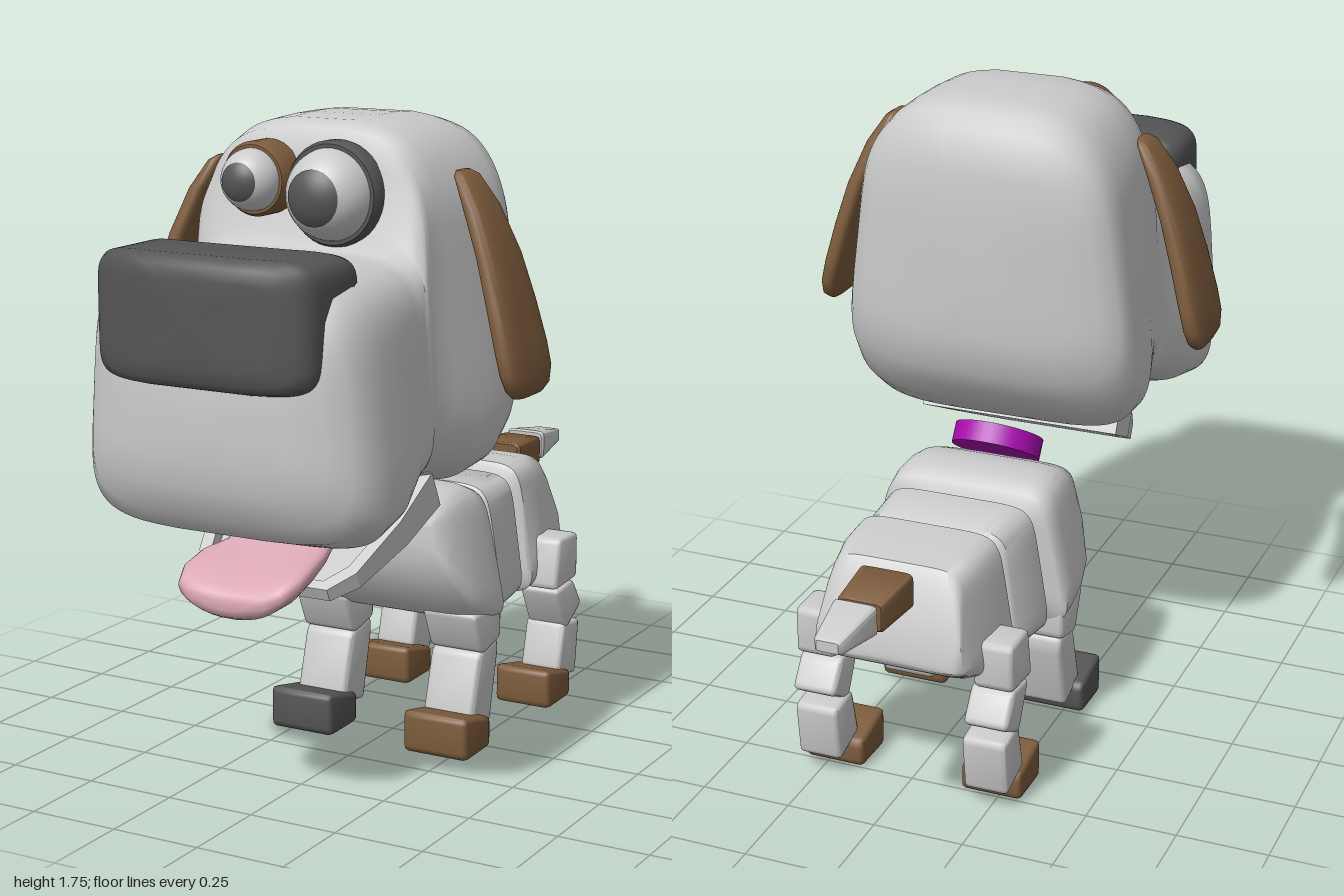
import * as THREE from 'three';
import { toCreasedNormals } from 'three/addons/utils/BufferGeometryUtils.js';

const paint = (color) => new THREE.MeshStandardMaterial({ color });
const GREY = paint(0xcccccc), DARK = paint(0x555555), BROWN = paint(0x7d5c3c);
const PINK = paint(0xdba8b6), PURPLE = paint(0xa80cae), GOLD = paint(0xb8902a);
const { smoothstep, lerp } = THREE.MathUtils;

function add(parent, name, geometry, material, x = 0, y = 0, z = 0) {
  const mesh = new THREE.Mesh(geometry, material);
  mesh.name = name;
  mesh.position.set(x, y, z);
  parent.add(mesh);
  return mesh;
}

// Skin over rounded cross-sections, front to back: [z, bottom, top, half width at bottom, half width at top, centre x].
// warp(v) may bend each point afterwards.
function loft(sections, power = 5, crease = 0.9, seg = 48, warp = (v) => v) {
  const points = [], index = [];
  const bend = (v) => Math.sign(v) * Math.abs(v) ** (2 / power);
  for (const [z, yb, yt, wb, wt, cx = 0] of sections) {
    for (let i = 0; i < seg; i++) {
      const a = ((i + 0.5) / seg) * Math.PI * 2, v = bend(Math.sin(a));
      const w = lerp(wb, wt, (v + 1) / 2);
      points.push(new THREE.Vector3(cx + w * bend(Math.cos(a)), (yb + yt) / 2 + (v * (yt - yb)) / 2, z));
    }
  }
  const rows = sections.length, front = rows * seg, back = front + 1;
  for (const s of [sections[0], sections[rows - 1]]) points.push(new THREE.Vector3(s[5] ?? 0, (s[1] + s[2]) / 2, s[0]));
  for (let i = 0; i < seg; i++) {
    const j = (i + 1) % seg, last = (rows - 1) * seg;
    for (let r = 0; r < rows - 1; r++) {
      const a = r * seg, b = a + seg;
      index.push(a + i, b + i, b + j, a + i, b + j, a + j);
    }
    index.push(front, i, j, back, last + j, last + i);
  }
  const g = new THREE.BufferGeometry().setFromPoints(points.map(warp));
  g.setIndex(index);
  return toCreasedNormals(g, crease);
}

// Side outline of [z, y] corners, rounded, given a bevelled width from x0 to x1
function slab(outline, x0, x1) {
  const b = 0.012, shape = new THREE.Shape();
  const pts = outline.map(([z, y]) => new THREE.Vector2(-z, y)), n = pts.length;
  const toward = (p, q) => p.clone().add(q.clone().sub(p).setLength(0.02));
  pts.forEach((p, i) => {
    const start = toward(p, pts[(i + n - 1) % n]), end = toward(p, pts[(i + 1) % n]);
    if (i === 0) shape.moveTo(start.x, start.y);
    else shape.lineTo(start.x, start.y);
    shape.quadraticCurveTo(p.x, p.y, end.x, end.y);
  });
  const g = new THREE.ExtrudeGeometry(shape, {
    depth: x1 - x0 - 2 * b, bevelThickness: b, bevelSize: b, bevelOffset: -b, bevelSegments: 2, curveSegments: 3,
  });
  g.translate(0, 0, x0 + b);
  g.rotateY(Math.PI / 2);
  return toCreasedNormals(g, 0.8);
}

function buildHead(dog) {
  const head = new THREE.Group();
  head.name = 'head';
  dog.add(head);

  // Muzzle, brow step and cranium in one skin, with crown, back and muzzle front bowed
  add(head, 'skull', loft([
    [0.955, 1.03, 1.1, 0.12, 0.11], [0.953, 0.97, 1.15, 0.24, 0.22], [0.943, 0.9, 1.25, 0.33, 0.3],
    [0.915, 0.82, 1.37, 0.39, 0.345], [0.865, 0.77, 1.415, 0.42, 0.365], [0.76, 0.74, 1.425, 0.44, 0.375],
    [0.64, 0.765, 1.425, 0.43, 0.365], [0.52, 0.82, 1.425, 0.395, 0.345], [0.47, 0.835, 1.43, 0.385, 0.34],
    [0.445, 0.835, 1.47, 0.38, 0.335], [0.435, 0.835, 1.66, 0.38, 0.325], [0.41, 0.835, 1.73, 0.385, 0.315],
    [0.35, 0.83, 1.75, 0.4, 0.32], [0.25, 0.8, 1.755, 0.43, 0.33], [0.15, 0.815, 1.755, 0.44, 0.335],
    [0.07, 0.87, 1.75, 0.44, 0.335], [0, 0.94, 1.735, 0.435, 0.33], [-0.035, 1, 1.69, 0.415, 0.32],
    [-0.055, 1.07, 1.57, 0.36, 0.3], [-0.061, 1.12, 1.47, 0.28, 0.24], [-0.063, 1.22, 1.37, 0.14, 0.12],
  ], 5, 1.1, 64, (v) => {
    const xx = v.x * v.x;
    v.y -= 0.45 * xx * smoothstep(v.y, 1.45, 1.72);
    v.z += xx * (0.35 * (1 - smoothstep(v.z, -0.06, 0.14)) - 0.35 * smoothstep(v.z, 0.78, 0.95));
    return v;
  }), GREY);

  // Nose: rounded block whose ends sweep back
  add(head, 'nose', loft([
    [1, 1.26, 1.37, 0.12, 0.12], [1, 1.21, 1.42, 0.21, 0.21], [0.997, 1.175, 1.455, 0.27, 0.27],
    [0.985, 1.157, 1.47, 0.298, 0.298], [0.96, 1.15, 1.477, 0.31, 0.31], [0.79, 1.15, 1.477, 0.308, 0.308],
    [0.755, 1.157, 1.47, 0.298, 0.298], [0.74, 1.18, 1.45, 0.26, 0.26], [0.738, 1.25, 1.38, 0.15, 0.15],
  ], 7, 1, 48, (v) => v.setZ(v.z - 0.5 * v.x * v.x)), DARK);

  // Mismatched eyes: x, y, z, radius, rim radius, rim front, pupil angle, rim colour
  for (const [side, x, y, z, r, rim, rimZ, angle, mat] of [
    ['right', -0.12, 1.6, 0.515, 0.08, 0.096, 0.515, 0.65, BROWN],
    ['left', 0.085, 1.57, 0.465, 0.118, 0.135, 0.478, 0.64, DARK],
  ]) {
    add(head, side + 'Eyeball', new THREE.SphereGeometry(r, 32, 24), GREY, x, y, z);
    const pupil = new THREE.SphereGeometry(r * 1.02, 28, 8, 0, Math.PI * 2, 0, angle);
    add(head, side + 'Pupil', pupil.rotateX(Math.PI / 2), DARK, x, y, z);
    const depth = rimZ - 0.42;
    const lip = [[0, -depth], [rim - 0.01, -depth], [rim, -depth + 0.01], [rim, -0.015], [rim - 0.008, 0], [r * 0.9, 0]];
    const ring = new THREE.LatheGeometry(lip.map(([a, b]) => new THREE.Vector2(a, b)), 40);
    add(head, side + 'EyeRim', toCreasedNormals(ring.rotateX(Math.PI / 2), 0.7), mat, x, y, rimZ);
  }

  // Hanging ears, lofted downwards: y, z range, half thickness, centre x
  for (const s of [1, -1]) {
    const ear = loft([
      [1.628, 0.245, 0.305, 0.01, 0.355], [1.615, 0.225, 0.325, 0.02, 0.366], [1.54, 0.205, 0.347, 0.03, 0.408],
      [1.42, 0.182, 0.37, 0.032, 0.458], [1.3, 0.166, 0.386, 0.032, 0.494], [1.19, 0.156, 0.395, 0.032, 0.523],
      [1.13, 0.157, 0.394, 0.031, 0.537], [1.09, 0.175, 0.378, 0.026, 0.543], [1.07, 0.205, 0.35, 0.016, 0.543],
      [1.065, 0.24, 0.315, 0.006, 0.543],
    ].map(([y, z0, z1, w, cx]) => [y, -z1, -z0, w, w, s * cx]), 3, 1.1, 32);
    add(head, s > 0 ? 'leftEar' : 'rightEar', ear.rotateX(-Math.PI / 2), BROWN);
  }

  // Lower jaw: rimmed tray tilted downwards, walls rising towards the back
  const jaw = new THREE.Group();
  jaw.name = 'jaw';
  jaw.position.set(0, 0.8, 0.333);
  jaw.rotation.x = 2.018;
  const tray = (k) => [[-0.295, -0.03], [0.295, -0.03], [0.28, 0.14], [0.235, 0.32], [0.18, 0.385], [-0.18, 0.385],
    [-0.235, 0.32], [-0.28, 0.14]].map(([x, y]) => new THREE.Vector2(x * k, 0.18 + (y - 0.18) * k));
  const rimShape = new THREE.Shape(tray(1));
  rimShape.holes.push(new THREE.Path(tray(0.87)));
  const walls = new THREE.ExtrudeGeometry(rimShape, { depth: 0.07, bevelEnabled: false });
  const p = walls.attributes.position;
  for (let i = 0; i < p.count; i++) {
    if (p.getZ(i) < 0.01) p.setZ(i, 0.035 - 0.17 * (0.39 - p.getY(i)));
  }
  walls.computeVertexNormals();
  add(jaw, 'jawRim', walls, GREY);
  add(jaw, 'jawFloor', new THREE.ExtrudeGeometry(new THREE.Shape(tray(0.9)), { depth: 0.02, bevelEnabled: false }), GREY, 0, 0, 0.049);
  head.add(jaw);

  // Tongue: plump tip with a shallow groove along the middle
  add(head, 'tongue', loft([
    [0.86, 0.575, 0.6, 0.06, 0.06], [0.855, 0.557, 0.615, 0.115, 0.115], [0.835, 0.547, 0.63, 0.152, 0.15],
    [0.78, 0.553, 0.65, 0.172, 0.172], [0.7, 0.58, 0.675, 0.17, 0.168], [0.62, 0.615, 0.695, 0.152, 0.15],
    [0.5, 0.685, 0.75, 0.13, 0.13], [0.42, 0.73, 0.775, 0.12, 0.12],
  ], 2.5, 1.2, 36, (v) => v.setY(v.y + 1.2 * v.x * v.x * smoothstep(v.z, 0.5, 0.75))), PINK);
}

function buildCollar(dog) {
  const collar = new THREE.Group();
  collar.name = 'collar';
  collar.position.set(0, 0.745, 0.12);
  collar.rotation.x = 0.6;
  add(collar, 'collarBand', new THREE.CylinderGeometry(0.125, 0.125, 0.058, 40), PURPLE);
  const buckle = new THREE.TorusGeometry(0.05, 0.006, 6, 4).rotateZ(Math.PI / 4);
  add(collar, 'buckle', buckle.rotateY(Math.PI / 2), GOLD, 0, 0, 0.125);
  dog.add(collar);
  const tag = new THREE.CylinderGeometry(0.038, 0.038, 0.01, 24).rotateX(Math.PI / 2);
  add(dog, 'tag', tag, GOLD, 0, 0.59, 0.215);
  add(dog, 'tagRing', new THREE.TorusGeometry(0.018, 0.004, 6, 16).rotateY(Math.PI / 2), GOLD, 0, 0.637, 0.215);
}

function buildBody(dog) {
  add(dog, 'chest', loft([
    [0.155, 0.56, 0.67, 0.22, 0.2], [0.14, 0.5, 0.695, 0.26, 0.21], [0.08, 0.4, 0.72, 0.3, 0.22],
    [0.02, 0.36, 0.73, 0.31, 0.225], [-0.05, 0.335, 0.725, 0.31, 0.23], [-0.1, 0.328, 0.705, 0.31, 0.23],
    [-0.112, 0.34, 0.69, 0.295, 0.22],
  ], 7, 0.8), GREY);
  add(dog, 'belly', loft([
    [-0.148, 0.335, 0.68, 0.26, 0.2], [-0.158, 0.325, 0.695, 0.27, 0.21],
    [-0.325, 0.335, 0.69, 0.25, 0.2], [-0.335, 0.345, 0.68, 0.24, 0.19],
  ], 7, 0.8), GREY);
  add(dog, 'hips', loft([
    [-0.365, 0.34, 0.695, 0.25, 0.19], [-0.375, 0.33, 0.708, 0.26, 0.2], [-0.48, 0.345, 0.705, 0.255, 0.195],
    [-0.575, 0.385, 0.69, 0.24, 0.175], [-0.6, 0.395, 0.65, 0.235, 0.18], [-0.64, 0.42, 0.53, 0.215, 0.2],
    [-0.655, 0.435, 0.46, 0.19, 0.18],
  ], 7, 0.8), GREY);

  // Tail: two separate tapered pieces
  add(dog, 'tailBase', loft([
    [-0.637, 0.605, 0.695, 0.068, 0.068], [-0.645, 0.6, 0.7, 0.075, 0.075],
    [-0.8, 0.605, 0.69, 0.064, 0.064], [-0.808, 0.61, 0.685, 0.058, 0.058],
  ], 8, 0.7), BROWN);
  add(dog, 'tailTip', loft([
    [-0.828, 0.617, 0.692, 0.055, 0.055], [-0.836, 0.612, 0.697, 0.06, 0.06],
    [-0.99, 0.632, 0.673, 0.038, 0.038], [-1, 0.638, 0.667, 0.03, 0.03],
  ], 8, 0.7), GREY);
}

function buildLegs(dog) {
  // Name, inner x, outer x, side outline
  const parts = [
    ['frontUpperLeg', 0.12, 0.285, [[0.055, 0.385], [-0.11, 0.385], [-0.11, 0.285], [0, 0.26]]],
    ['frontLowerLeg', 0.125, 0.278, [[0.005, 0.265], [-0.1, 0.29], [-0.108, 0.25], [-0.06, 0.048], [0.058, 0.085]]],
    ['frontPaw', 0.115, 0.308, [[0.15, 0], [0.15, 0.122], [-0.003, 0.09], [-0.003, 0.003]]],
    ['rearThigh', 0.2, 0.31, [[-0.43, 0.488], [-0.553, 0.485], [-0.552, 0.35], [-0.403, 0.34]]],
    ['rearKnee', 0.185, 0.308, [[-0.42, 0.335], [-0.53, 0.348], [-0.592, 0.26], [-0.49, 0.204]]],
    ['rearShin', 0.18, 0.303, [[-0.48, 0.228], [-0.588, 0.213], [-0.567, 0.048], [-0.442, 0.083]]],
    ['rearPaw', 0.145, 0.315, [[-0.352, 0], [-0.352, 0.115], [-0.505, 0.08], [-0.505, 0.003]]],
  ];
  for (const [side, s] of [['left', 1], ['right', -1]]) {
    for (const [name, x0, x1, outline] of parts) {
      const isPaw = name.endsWith('Paw');
      const material = !isPaw ? GREY : s < 0 && name === 'frontPaw' ? DARK : BROWN;
      add(dog, `${name}_${side}`, s > 0 ? slab(outline, x0, x1) : slab(outline, -x1, -x0), material);
    }
  }
}

export function createModel() {
  const dog = new THREE.Group();
  dog.name = 'dog';
  buildHead(dog);
  buildCollar(dog);
  buildBody(dog);
  buildLegs(dog);
  return dog;
}
